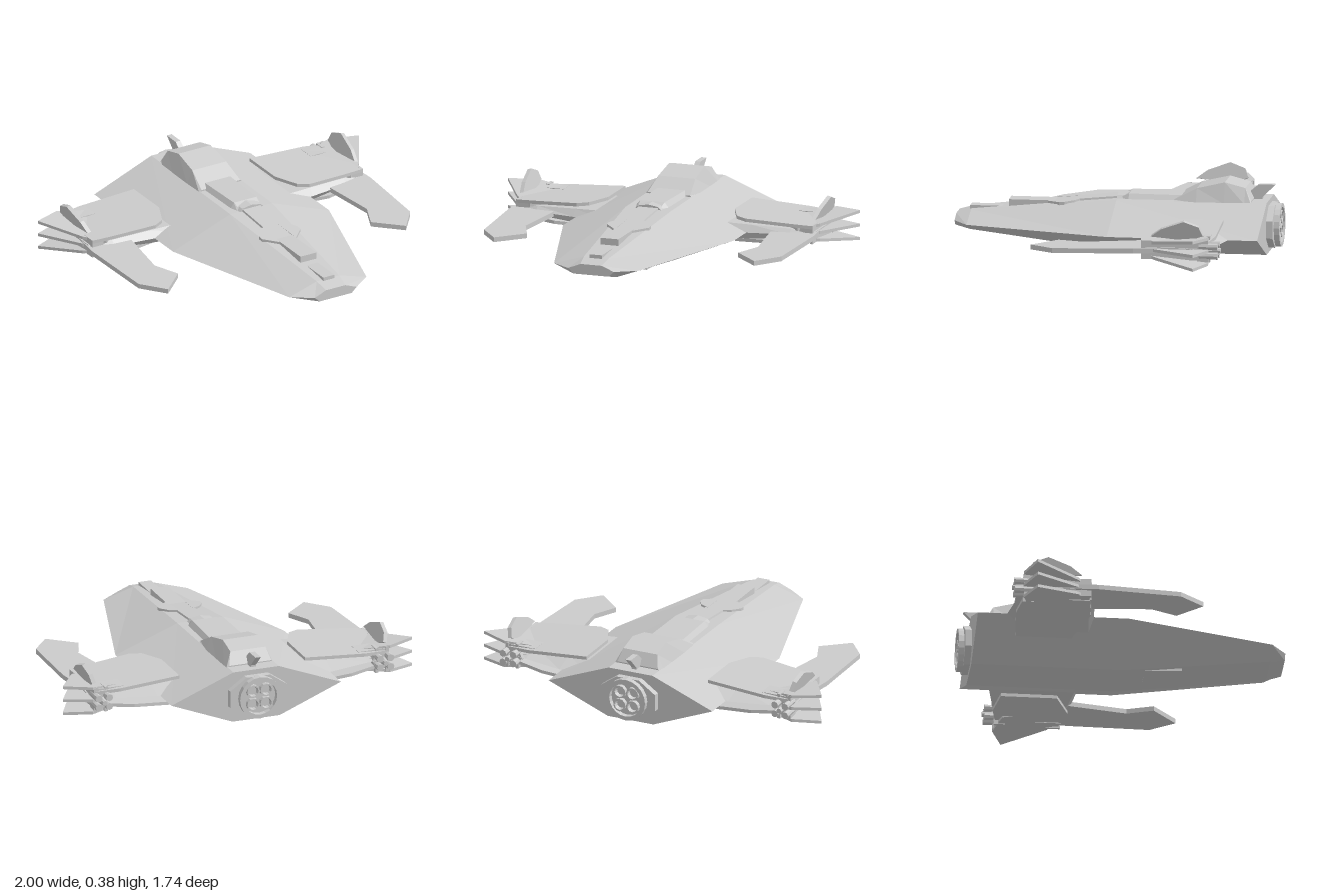
import * as THREE from 'three';

const material = new THREE.MeshStandardMaterial({ color: 0xcccccc, flatShading: true, side: THREE.DoubleSide });

function add(parent, name, geometry, x = 0, y = 0, z = 0) {
  const mesh = new THREE.Mesh(geometry, material);
  mesh.name = name;
  mesh.position.set(x, y, z);
  parent.add(mesh);
  return mesh;
}

// Skin over cross-sections, ordered front to back, each counter-clockwise from the front
function loft(sections) {
  const pos = [];
  const n = sections[0].length;
  const tri = (a, b, c) => pos.push(...a, ...b, ...c);
  for (let i = 0; i < sections.length - 1; i++) {
    for (let j = 0; j < n; j++) {
      const k = (j + 1) % n, a = sections[i], b = sections[i + 1];
      tri(a[j], b[j], a[k]);
      tri(a[k], b[j], b[k]);
    }
  }
  const first = sections[0], last = sections[sections.length - 1];
  for (let j = 1; j < n - 1; j++) {
    tri(first[0], first[j], first[j + 1]);
    tri(last[0], last[j + 1], last[j]);
  }
  const g = new THREE.BufferGeometry();
  g.setAttribute('position', new THREE.Float32BufferAttribute(pos, 3));
  g.computeVertexNormals();
  return g;
}

// Six-sided section: waist half-width w, top and bottom flats
const hexSection = (z, w, mid, topW, top, botW, bot) => [
  [w, mid, z], [topW, top, z], [-topW, top, z], [-w, mid, z], [-botW, bot, z], [botW, bot, z]];

// Four-sided section, wide at the base
const quadSection = (z, w, bot, topW, top) => [
  [w, bot, z], [topW, top, z], [-topW, top, z], [-w, bot, z]];

// Plan outline [x, z] given thickness t around the height rule y(x, z)
function plate(outline, side, t, height) {
  const shape = new THREE.Shape(outline.map(([x, z]) => new THREE.Vector2(x * side, -z)));
  const g = new THREE.ExtrudeGeometry(shape, { depth: 1, bevelEnabled: false });
  g.rotateX(-Math.PI / 2);
  const p = g.attributes.position;
  for (let i = 0; i < p.count; i++) {
    p.setY(i, height(Math.abs(p.getX(i)), p.getZ(i)) + (p.getY(i) - 0.5) * t);
  }
  g.computeVertexNormals();
  return g;
}

// Upright slab from a side profile [z, y]
function slab(profile, t) {
  const shape = new THREE.Shape(profile.map(([z, y]) => new THREE.Vector2(z, y)));
  const g = new THREE.ExtrudeGeometry(shape, { depth: t, bevelEnabled: false });
  return g.rotateY(-Math.PI / 2).translate(t / 2, 0, 0);
}

const mix = THREE.MathUtils.mapLinear;
const box = (x, y, z) => new THREE.BoxGeometry(x, y, z);
const rod = (r1, r2, len, n) => new THREE.CylinderGeometry(r1, r2, len, n).rotateX(Math.PI / 2);

function buildWing(side) {
  const wing = new THREE.Group();
  wing.name = side > 0 ? 'leftWing' : 'rightWing';

  // Main wing, thick at the root
  const main = (z, x, y, h) => [[x, y - h, z], [x, y + h, z]];
  const chord = (x, front, back, y, h) => {
    const [a, b] = main(front - 0.03, x, y, h), [c, d] = main(back + 0.12, x, y, h);
    const loop = [[x, y, front], b, d, [x, y, back], c, a].map(p => [p[0] * side, p[1], p[2]]);
    return side > 0 ? loop : loop.reverse();
  };
  add(wing, 'mainWing', loft([
    chord(0.3, -0.17, -0.68, 0.14, 0.045), chord(0.5, -0.19, -0.65, 0.14, 0.038),
    chord(0.72, -0.21, -0.61, 0.145, 0.025), chord(0.85, -0.24, -0.59, 0.145, 0.015)]));

  // Root fairings above and below
  const fairing = [[0.36, -0.47], [0.36, -0.61], [0.7, -0.62], [0.84, -0.6], [0.84, -0.24],
    [0.72, -0.22], [0.48, -0.19], [0.42, -0.22], [0.36, -0.35]];
  add(wing, 'upperFairing', plate(fairing, side, 0.018, x => mix(x, 0.36, 0.84, 0.215, 0.185)));
  add(wing, 'lowerFairing', plate(
    [[0.38, -0.3], [0.38, -0.6], [0.62, -0.62], [0.84, -0.58], [0.84, -0.25], [0.62, -0.22]],
    side, 0.018, x => mix(x, 0.38, 0.84, 0.068, 0.115)));

  // Three blades that spread apart toward the rear tip
  const blade = [[0.66, -0.3], [0.76, -0.23], [0.86, -0.31], [1, -0.54], [0.85, -0.6], [0.7, -0.56]];
  for (const [name, spread] of [['upperBlade', 1], ['middleBlade', 0], ['lowerBlade', -1]]) {
    add(wing, name, plate(blade, side, 0.016, (x, z) =>
      0.145 + spread * (mix(z, -0.22, -0.58, 0.03, 0.064) + mix(x, 0.66, 1, -0.012, 0.014))));
  }

  // Forward prong
  add(wing, 'forwardProng', plate(
    [[0.85, -0.36], [0.865, -0.2], [0.845, 0.24], [0.74, 0.37], [0.6, 0.24], [0.66, 0.1], [0.61, -0.25], [0.64, -0.4]],
    side, 0.026, (x, z) => mix(z, 0.37, -0.36, 0.124, 0.145)));

  // Tip fin, leaning outward
  const fin = add(wing, 'tipFin', slab(
    [[-0.29, 0], [-0.35, 0.045], [-0.47, 0.09], [-0.55, 0.06], [-0.57, 0.01], [-0.5, -0.02]], 0.022),
  side * 0.83, 0.22, 0);
  fin.rotation.z = -side * 0.25;

  // Tip pod with clamps and rear nozzles
  add(wing, 'tipPod', rod(0.042, 0.05, 0.36, 8), side * 0.8, 0.145, -0.42);
  for (const x of [0.775, 0.835]) {
    add(wing, 'podClamp', box(0.018, 0.14, 0.06), side * x, 0.145, -0.57);
    add(wing, 'podRail', box(0.014, 0.1, 0.34), side * x, 0.145, -0.41);
    for (const y of [0.12, 0.17]) add(wing, 'podNozzle', rod(0.016, 0.02, 0.1, 8), side * x, y, -0.6);
  }
  add(wing, 'podTail', rod(0.022, 0.014, 0.1, 8), side * 0.805, 0.145, -0.61);
  add(wing, 'wingBlock', box(0.16, 0.022, 0.1), side * 0.75, 0.195, -0.545);
  return wing;
}

export function createModel() {
  const model = new THREE.Group();
  model.name = 'spacecraft';

  // Hull
  add(model, 'hull', loft([
    hexSection(0.87, 0.13, 0.14, 0.06, 0.168, 0.1, 0.112),
    hexSection(0.79, 0.24, 0.138, 0.07, 0.19, 0.12, 0.094),
    hexSection(0, 0.485, 0.14, 0.13, 0.272, 0.135, 0),
    hexSection(-0.81, 0.485, 0.14, 0.13, 0.28, 0.135, 0)]));

  // Raised spine ahead of the canopy
  add(model, 'spine', loft([
    quadSection(0, 0.08, 0.26, 0.06, 0.272), quadSection(-0.06, 0.1, 0.26, 0.07, 0.3),
    quadSection(-0.4, 0.11, 0.26, 0.08, 0.3)]));

  // Canopy
  add(model, 'canopy', loft([
    quadSection(-0.31, 0.135, 0.27, 0.12, 0.282), quadSection(-0.43, 0.138, 0.27, 0.105, 0.345),
    quadSection(-0.58, 0.138, 0.27, 0.1, 0.38), quadSection(-0.69, 0.138, 0.27, 0.1, 0.352),
    quadSection(-0.725, 0.138, 0.27, 0.12, 0.285)]));

  // Tail fin
  add(model, 'tailFin', slab([[-0.65, 0.27], [-0.68, 0.3], [-0.75, 0.357], [-0.84, 0.358], [-0.77, 0.29], [-0.77, 0.27]], 0.03));

  // Nose gun in its cradle
  add(model, 'gunHousing', box(0.1, 0.05, 0.36), 0, 0.222, 0.41);
  add(model, 'gunCradle', loft([
    quadSection(0.36, 0.055, 0.2, 0.045, 0.245), quadSection(0, 0.07, 0.22, 0.055, 0.282)]));
  add(model, 'gunBarrel', box(0.07, 0.022, 0.22), 0, 0.196, 0.69);
  add(model, 'intake', rod(0.08, 0.085, 0.07, 8).scale(1, 0.4, 1), 0, 0.265, -0.03);
  for (const s of [1, -1]) {
    add(model, 'gunCheek', plate([[0.04, 0.2], [0.09, 0.23], [0.12, 0.28], [0.12, 0.31], [0.05, 0.38]],
      s, 0.03, (x, z) => mix(z, 0.2, 0.38, 0.247, 0.23)));
  }

  // Belly hatch
  add(model, 'bellyHatch', loft([
    quadSection(0.32, 0.11, 0.022, 0.11, 0.07), quadSection(0.12, 0.11, 0.013, 0.11, 0.05)]));

  // Main engine: collar, ring and four nozzles
  const engine = new THREE.Group();
  engine.name = 'mainEngine';
  engine.position.set(0, 0.14, -0.81);
  model.add(engine);
  const collar = rod(0.175, 0.175, 0.06, 8).rotateZ(Math.PI / 8).scale(1, 0.7, 1);
  add(engine, 'collar', collar, 0, 0, -0.005);
  const disc = new THREE.Shape().absarc(0, 0, 0.117, 0, Math.PI * 2);
  disc.holes.push(new THREE.Path().absarc(0, 0, 0.095, 0, Math.PI * 2, true));
  add(engine, 'ring', new THREE.ExtrudeGeometry(disc, { depth: 0.05, bevelEnabled: false, curveSegments: 10 }), 0, 0, -0.064);
  for (let i = 0; i < 4; i++) {
    const a = Math.PI / 4 + i * Math.PI / 2;
    const nozzle = new THREE.LatheGeometry([[0, 0], [0.024, 0], [0.028, 0.026], [0.036, 0.026], [0.036, 0]]
      .map(p => new THREE.Vector2(...p)), 12).rotateX(-Math.PI / 2);
    add(engine, 'nozzle', nozzle, 0.053 * Math.cos(a), 0.053 * Math.sin(a), -0.033);
  }

  for (const side of [1, -1]) model.add(buildWing(side));
  return model;
}
